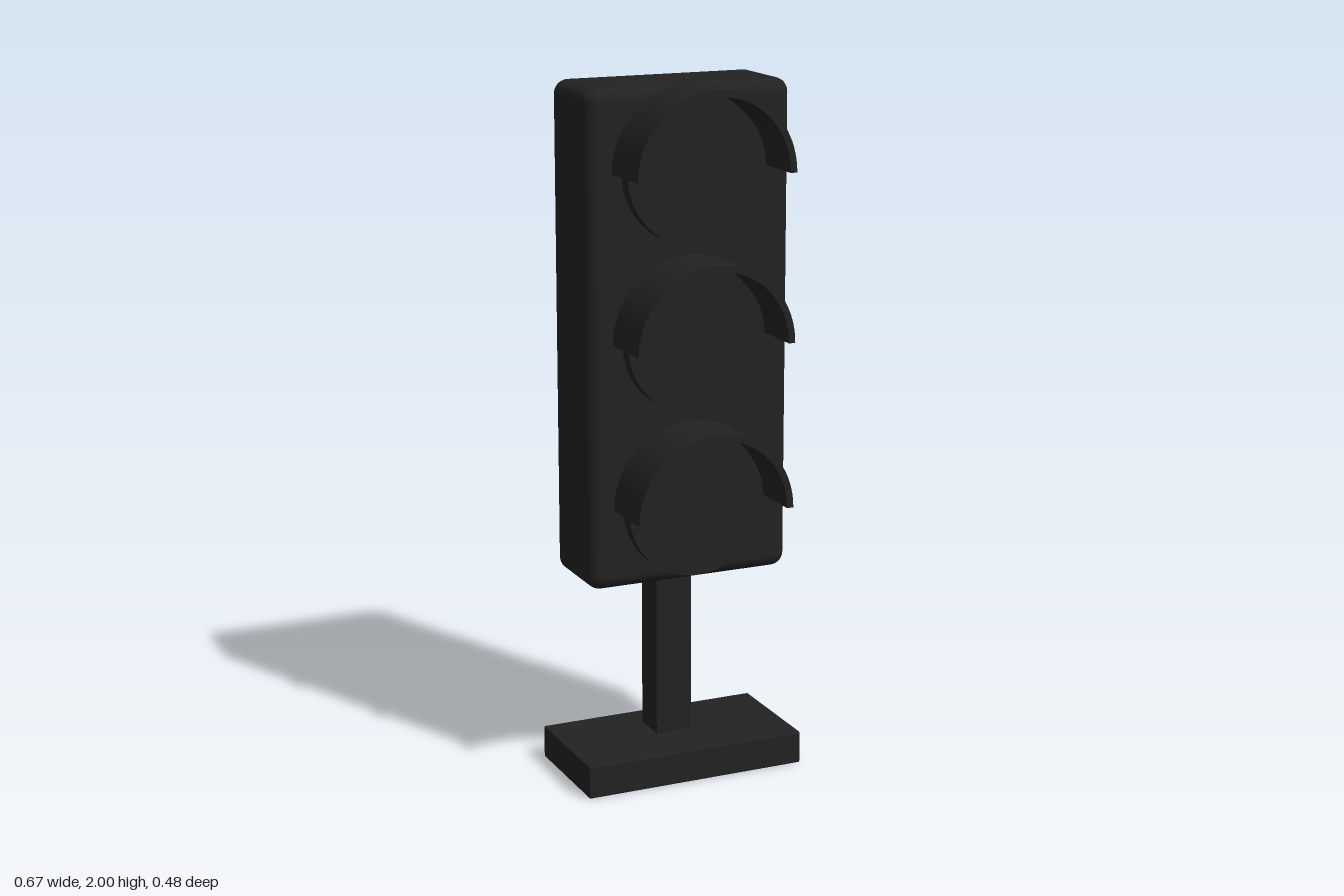
import * as THREE from 'three';
import { RoundedBoxGeometry } from 'three/addons/geometries/RoundedBoxGeometry.js';

const black = new THREE.MeshStandardMaterial({ color: 0x222222 });
black.name = 'black';

function add(group, name, geometry, x = 0, y = 0, z = 0) {
  const mesh = new THREE.Mesh(geometry, black);
  mesh.name = name;
  mesh.position.set(x, y, z);
  group.add(mesh);
  return mesh;
}

// Half-ring hood, extruded forward along z
function visorGeometry(outer, inner, depth) {
  const shape = new THREE.Shape();
  shape.absarc(0, 0, outer, 0, Math.PI, false);
  shape.absarc(0, 0, inner, Math.PI, 0, true);
  shape.closePath();
  return new THREE.ExtrudeGeometry(shape, { depth, bevelEnabled: false, curveSegments: 32 });
}

export function createModel() {
  const model = new THREE.Group();
  model.name = 'trafficLight';

  // Foot and post
  add(model, 'base', new RoundedBoxGeometry(0.666, 0.096, 0.353, 2, 0.005), 0, 0.048, -0.0665);
  add(model, 'post', new THREE.BoxGeometry(0.11, 0.55, 0.105), 0, 0.345, -0.1025);

  // Signal housing with softened edges
  add(model, 'housing', new RoundedBoxGeometry(0.61, 1.405, 0.267, 5, 0.04), 0, 1.2975, -0.0665);

  // Three lamps, each a round lens under a half-round hood
  const lens = new THREE.CylinderGeometry(0.206, 0.206, 0.068, 48).rotateX(Math.PI / 2);
  const visor = visorGeometry(0.234, 0.215, 0.182);
  ['top', 'middle', 'bottom'].forEach((place, i) => {
    const lamp = new THREE.Group();
    lamp.name = place + 'Lamp';
    lamp.position.y = 1.768 - i * 0.47;
    add(lamp, place + 'Lens', lens, 0, 0, 0.075);
    add(lamp, place + 'Visor', visor, 0, 0, 0.06);
    model.add(lamp);
  });

  return model;
}
